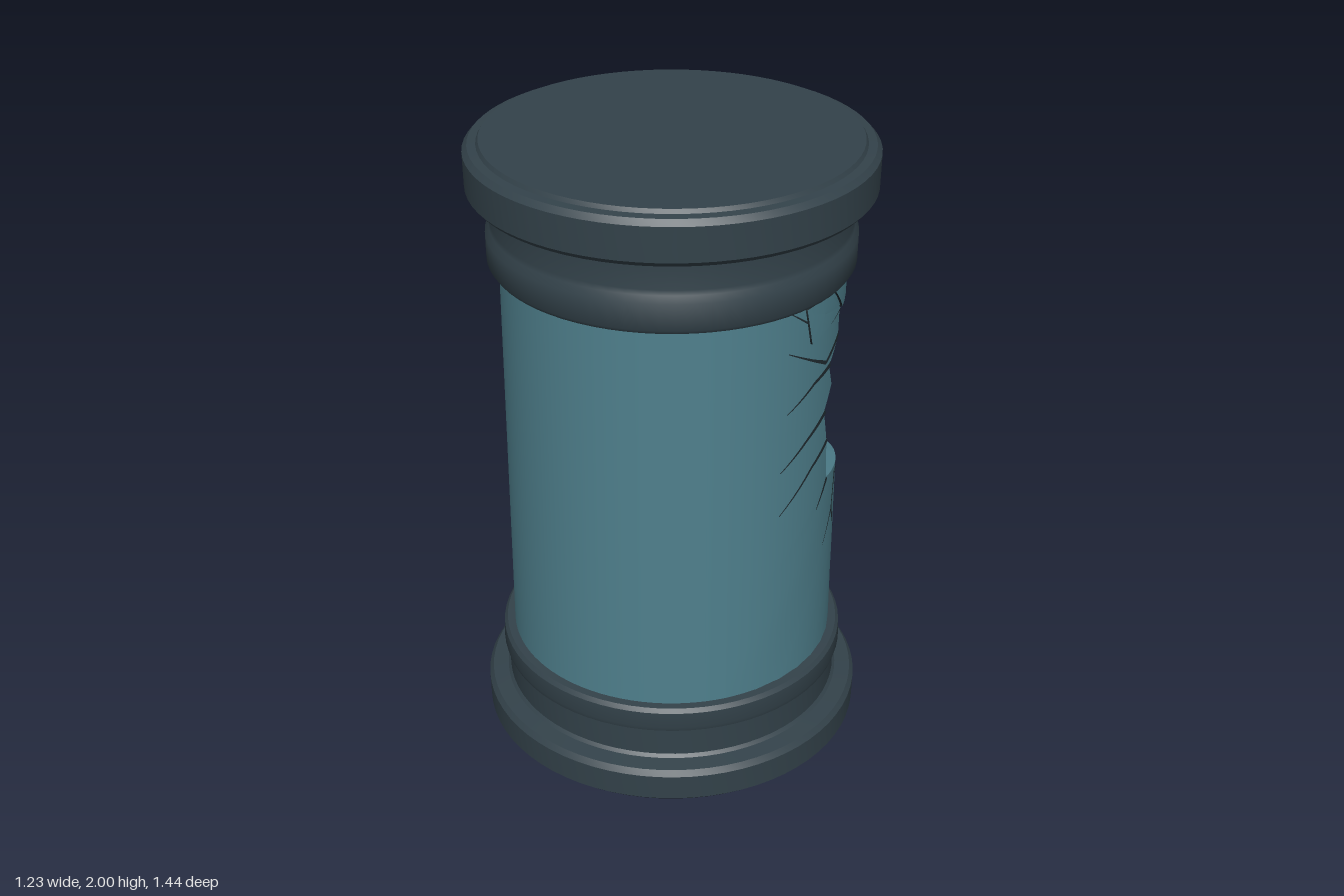
import * as THREE from 'three';
import { toCreasedNormals } from 'three/addons/utils/BufferGeometryUtils.js';

const R = 0.52, CZ = 0.107; // glass radius and z of the tank axis

// Side position (z, y) -> angle around the axis and height
const wrap = ([z, y]) => [Math.asin(THREE.MathUtils.clamp((z - CZ) / R, -1, 1)), y];

// Closed loop with each edge subdivided
function densify(points, n) {
  const out = [];
  points.forEach((p, i) => {
    const q = points[(i + 1) % points.length];
    for (let k = 0; k < n; k++) out.push([p[0] + (q[0] - p[0]) * k / n, p[1] + (q[1] - p[1]) * k / n]);
  });
  return out;
}

// Curved skin between two loops, each given in (angle, height) at its own radius
function patch(loopA, loopB, rA, rB, steps) {
  const n = loopA.length, pos = [], idx = [];
  for (let s = 0; s <= steps; s++) {
    const t = s / steps, r = rA + (rB - rA) * t;
    for (let i = 0; i < n; i++) {
      const a = loopA[i][0] + (loopB[i][0] - loopA[i][0]) * t;
      const y = loopA[i][1] + (loopB[i][1] - loopA[i][1]) * t;
      pos.push(r * Math.cos(a), y, r * Math.sin(a));
    }
  }
  for (let s = 0; s < steps; s++) for (let i = 0; i < n; i++) {
    const j = (i + 1) % n, a = s * n + i, b = s * n + j;
    idx.push(a, b, b + n, a, b + n, a + n);
  }
  const g = new THREE.BufferGeometry();
  g.setAttribute('position', new THREE.Float32BufferAttribute(pos, 3));
  g.setIndex(idx);
  g.computeVertexNormals();
  return g;
}

// Thin tapering ribbon lying on the glass
function crackRibbon(points, width) {
  const path = [], pos = [], idx = [], r = R + 0.0025;
  const p = points.map(wrap).map(([a, y]) => new THREE.Vector2(a * r, y));
  for (let i = 0; i < p.length - 1; i++) for (let k = 0; k < 5; k++) path.push(p[i].clone().lerp(p[i + 1], k / 5));
  path.push(p[p.length - 1]);
  path.forEach((c, i) => {
    const d = path[Math.min(i + 1, path.length - 1)].clone().sub(path[Math.max(i - 1, 0)]).normalize();
    const w = width * (1 - 0.85 * i / (path.length - 1)) / 2;
    for (const s of [-1, 1]) {
      const a = (c.x - d.y * w * s) / r;
      pos.push(r * Math.cos(a), c.y + d.x * w * s, r * Math.sin(a));
    }
    if (i) idx.push(2 * i - 2, 2 * i - 1, 2 * i + 1, 2 * i - 2, 2 * i + 1, 2 * i);
  });
  const g = new THREE.BufferGeometry();
  g.setAttribute('position', new THREE.Float32BufferAttribute(pos, 3));
  g.setIndex(idx);
  g.computeVertexNormals();
  return g;
}

export function createModel() {
  const metal = new THREE.MeshStandardMaterial({ color: 0x33424a });
  metal.name = 'dark metal';
  const glass = new THREE.MeshStandardMaterial({ color: 0x4f808d, side: THREE.DoubleSide });
  glass.name = 'teal glass';
  const crackDark = new THREE.MeshStandardMaterial({ color: 0x202b30, side: THREE.DoubleSide });
  crackDark.name = 'crack dark';

  const model = new THREE.Group();
  const tank = new THREE.Group();
  tank.name = 'tank';
  tank.position.z = CZ;
  model.add(tank);
  const add = (geo, mat, name, parent = tank) => {
    const m = new THREE.Mesh(geo, mat);
    m.name = name;
    parent.add(m);
    return m;
  };
  const lathe = (pts) => toCreasedNormals(
    new THREE.LatheGeometry(pts.map(([x, y]) => new THREE.Vector2(x, y)), 72), 0.6);

  // Stepped end caps
  add(lathe([[0, 0], [0.565, 0], [0.572, 0.01], [0.595, 0.01], [0.611, 0.025], [0.613, 0.11], [0.6, 0.128],
    [0.55, 0.135], [0.541, 0.145], [0.541, 0.238], [0.553, 0.245], [0.557, 0.26], [0.555, 0.312],
    [0.545, 0.325], [0.5, 0.327]]), metal, 'bottomCap');
  add(lathe([[0.5, 1.618], [0.548, 1.62], [0.556, 1.632], [0.557, 1.715], [0.545, 1.735], [0.542, 1.75],
    [0.545, 1.835], [0.556, 1.845], [0.598, 1.847], [0.611, 1.862], [0.613, 1.968], [0.598, 1.985],
    [0.572, 1.988], [0.565, 2], [0, 2]]), metal, 'topCap');

  // Inner core seen through the break
  const core = add(new THREE.CylinderGeometry(0.447, 0.447, 1.36, 72, 1, true), metal, 'innerCore');
  core.position.y = 0.97;

  // Unbroken glass, then the panel around the jagged hole
  const half = 1.35;
  const shell = add(new THREE.CylinderGeometry(R, R, 1.45, 56, 1, true, Math.PI / 2 + half,
    2 * Math.PI - 2 * half), glass, 'glassShell');
  shell.position.y = 0.975;
  const hole = densify([[0.31, 1.515], [0.1, 1.54], [-0.1, 1.52], [-0.2, 1.525], [-0.3, 1.43], [-0.355, 1.4],
    [-0.355, 1.2], [-0.335, 1.09], [-0.16, 0.925], [-0.07, 0.87], [0.14, 0.92], [0.37, 0.96], [0.38, 1.1],
    [0.405, 1.21], [0.36, 1.28], [0.385, 1.355], [0.315, 1.42]], 10).map(wrap);
  const y0 = 1.2, yMin = 0.25, yMax = 1.7;
  const border = hole.map(([a, y]) => {
    const dy = y - y0;
    const k = Math.min(half / Math.max(Math.abs(a), 1e-6), (dy > 0 ? yMax - y0 : y0 - yMin) / Math.max(Math.abs(dy), 1e-6));
    return [a * k, y0 + dy * k];
  });
  add(patch(hole, border, R, R, 16), glass, 'brokenGlassPanel');
  add(patch(hole, hole, 0.446, R, 1), glass, 'holeRim');

  // Loosened shards standing slightly proud of the glass
  const shards = [
    [[0.38, 1.6], [0.14, 1.6], [0.11, 1.54], [0.3, 1.51]],
    [[0.1, 1.61], [-0.04, 1.61], [-0.08, 1.535], [0.09, 1.55]],
    [[-0.17, 1.6], [-0.26, 1.6], [-0.21, 1.52], [-0.11, 1.515]],
    [[-0.28, 1.58], [-0.35, 1.58], [-0.345, 1.42], [-0.23, 1.51]],
    [[0.5, 1.6], [0.42, 1.61], [0.33, 1.52], [0.48, 1.48]],
  ];
  for (const s of shards) {
    const loop = densify(s, 6).map(wrap);
    const mid = loop.reduce((c, p) => [c[0] + p[0] / loop.length, c[1] + p[1] / loop.length], [0, 0]);
    add(patch(loop.map(() => mid), loop, R + 0.007, R + 0.007, 3), glass, 'shard');
    add(patch(loop, loop, R + 0.007, R - 0.005, 1), crackDark, 'shardEdge');
  }

  // Cracks running outward from the hole
  const cracks = [
    [[0.31, 1.515], [0.4, 1.5], [0.46, 1.52], [0.54, 1.61]],
    [[0.32, 1.43], [0.41, 1.38], [0.47, 1.42], [0.54, 1.48]],
    [[0.38, 1.36], [0.46, 1.34], [0.54, 1.28]],
    [[0.4, 1.21], [0.48, 1.16], [0.55, 1.09]],
    [[0.38, 1.1], [0.46, 1.05], [0.55, 0.94]],
    [[0.37, 0.96], [0.43, 0.88]],
    [[0.28, 0.94], [0.31, 0.81], [0.38, 0.72]],
    [[0.31, 0.81], [0.26, 0.71]],
    [[0.2, 0.93], [0.23, 0.8]],
    [[0, 0.89], [0.02, 0.79], [0.05, 0.65]],
    [[-0.09, 0.87], [-0.11, 0.79], [-0.16, 0.68]],
    [[-0.11, 0.79], [-0.17, 0.83]],
    [[-0.15, 0.93], [-0.17, 0.8]],
    [[-0.21, 0.97], [-0.23, 0.88]],
    [[-0.35, 1.15], [-0.39, 1.08]],
    [[-0.355, 1.4], [-0.4, 1.41]],
    [[-0.355, 1.3], [-0.365, 1.1], [-0.37, 0.95]],
    [[-0.33, 1.42], [-0.37, 1.5], [-0.38, 1.6]],
    [[-0.08, 1.52], [-0.06, 1.62]],
    [[-0.1, 1.52], [-0.19, 1.62]],
  ];
  for (const c of cracks) add(crackRibbon(c, 0.018), crackDark, 'crack');

  // Hose and its collar, in a plane pointing outward from the axis (+x is outward)
  const hoseArm = new THREE.Group();
  hoseArm.name = 'hoseArm';
  hoseArm.rotation.y = Math.atan2(0.9, 0.436);
  tank.add(hoseArm);
  const path = new THREE.CatmullRomCurve3([[0.47, 0.49], [0.62, 0.49], [0.74, 0.45], [0.83, 0.36], [0.855, 0.26],
    [0.825, 0.16], [0.75, 0.085], [0.66, 0.062], [0.56, 0.07]].map(([s, y]) => new THREE.Vector3(s, y, 0)));
  add(new THREE.TubeGeometry(path, 48, 0.057, 20), metal, 'hose', hoseArm);
  const collar = add(lathe([[0.115, -0.04], [0.115, 0.015], [0.105, 0.028], [0.08, 0.032], [0.068, 0.05], [0.05, 0.052]]),
    metal, 'hoseCollar', hoseArm);
  collar.rotation.z = -Math.PI / 2;
  collar.position.set(0.515, 0.495, 0);

  return model;
}
